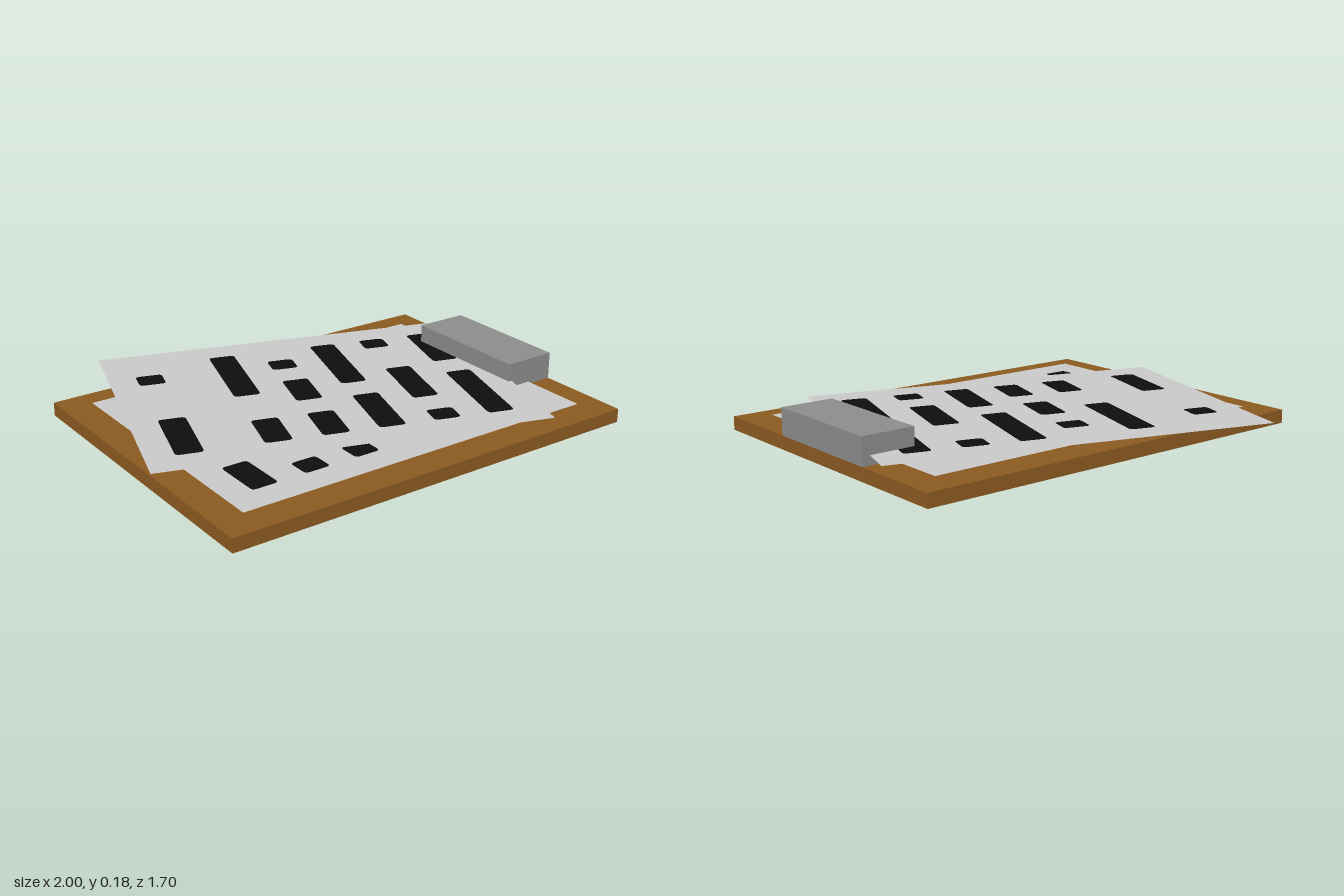
import * as THREE from 'three';

const material = (name, color, side = THREE.FrontSide) =>
  Object.assign(new THREE.MeshStandardMaterial({ color, side }), { name });

const CELL = 0.122; // each sheet is a grid of 14 x 10 cells

// Marks as [column centre, first row, last row], in cells from the sheet's centre
const upperMarks = [
  [-5.5, -3, -2], [-5.5, 1, 4],
  [-2.5, -4, 0], [-2.5, 2, 4],
  [-0.5, -3, -2], [-0.5, -1, 1], [-0.5, 2, 4],
  [1.5, -4, 0], [1.5, 1, 4],
  [3.5, -4, -3], [3.5, -1, 2], [3.5, 3, 4],
  [5.5, -4, -1], [5.5, 0, 4],
];
const lowerMarks = [
  [-5.5, -3, 0], [-5.5, 2, 4],
  [-3.5, -4, -1], [-3.5, 3, 4],
  [-1.5, -3, 0], [-1.5, 3, 4],
  [0.5, -4, -2], [0.5, 0, 3],
  [2.5, -3, 1],
  [4.5, -2, 1],
];

// Outline of one mark with rounded corners
function roundedMark([column, first, last]) {
  const x0 = (column - 0.5) * CELL + 0.002, x1 = (column + 0.5) * CELL - 0.002;
  const y0 = -last * CELL + 0.008, y1 = -first * CELL - 0.008, r = 0.02;
  const s = new THREE.Shape();
  s.moveTo(x0 + r, y0);
  s.lineTo(x1 - r, y0);
  s.quadraticCurveTo(x1, y0, x1, y0 + r);
  s.lineTo(x1, y1 - r);
  s.quadraticCurveTo(x1, y1, x1 - r, y1);
  s.lineTo(x0 + r, y1);
  s.quadraticCurveTo(x0, y1, x0, y1 - r);
  s.lineTo(x0, y0 + r);
  s.quadraticCurveTo(x0, y0, x0 + r, y0);
  return s;
}

// Flat paper sheet whose openings are filled by the black marks
function makeSheet(name, marks, paper, ink) {
  const group = new THREE.Group();
  group.name = name;
  const w = 7 * CELL, h = 5 * CELL;
  const outline = new THREE.Shape([
    new THREE.Vector2(-w, -h), new THREE.Vector2(w, -h),
    new THREE.Vector2(w, h), new THREE.Vector2(-w, h),
  ]);
  const shapes = marks.map(roundedMark);
  outline.holes.push(...shapes);
  const add = (part, shape, mat) => {
    const mesh = new THREE.Mesh(new THREE.ShapeGeometry(shape, 5).rotateX(-Math.PI / 2), mat);
    mesh.name = part;
    group.add(mesh);
  };
  add('paper', outline, paper);
  add('marks', shapes, ink);
  return group;
}

// Box from its lowest and highest corner
function makeBox(name, min, max, mat) {
  const size = max.map((v, i) => v - min[i]);
  const mesh = new THREE.Mesh(new THREE.BoxGeometry(...size), mat);
  mesh.position.set(...max.map((v, i) => (v + min[i]) / 2));
  mesh.name = name;
  return mesh;
}

export function createModel() {
  const wood = material('brown wood', 0x8b5a20);
  const metal = material('grey metal', 0x8c8c8c);
  const paper = material('light grey paper', 0xc8c8c8, THREE.DoubleSide);
  const ink = material('black ink', 0x0d0d0d, THREE.DoubleSide);

  const model = new THREE.Group();
  model.name = 'clipboard';

  // Board and the clip on its left edge
  model.add(makeBox('board', [-0.97, 0, -0.615], [0.985, 0.061, 0.85], wood));
  model.add(makeBox('clip', [0.74, 0.061, -0.188], [0.985, 0.183, 0.422], metal));

  // Straight sheet on the board
  const lower = makeSheet('lowerSheet', lowerMarks, paper, ink);
  lower.position.set(0.008, 0.072, 0.118);
  model.add(lower);

  // Turned sheet lying above it
  const upper = makeSheet('upperSheet', upperMarks, paper, ink);
  upper.position.set(0, 0.102, -0.015);
  upper.rotation.y = -0.305;
  model.add(upper);

  return model;
}
